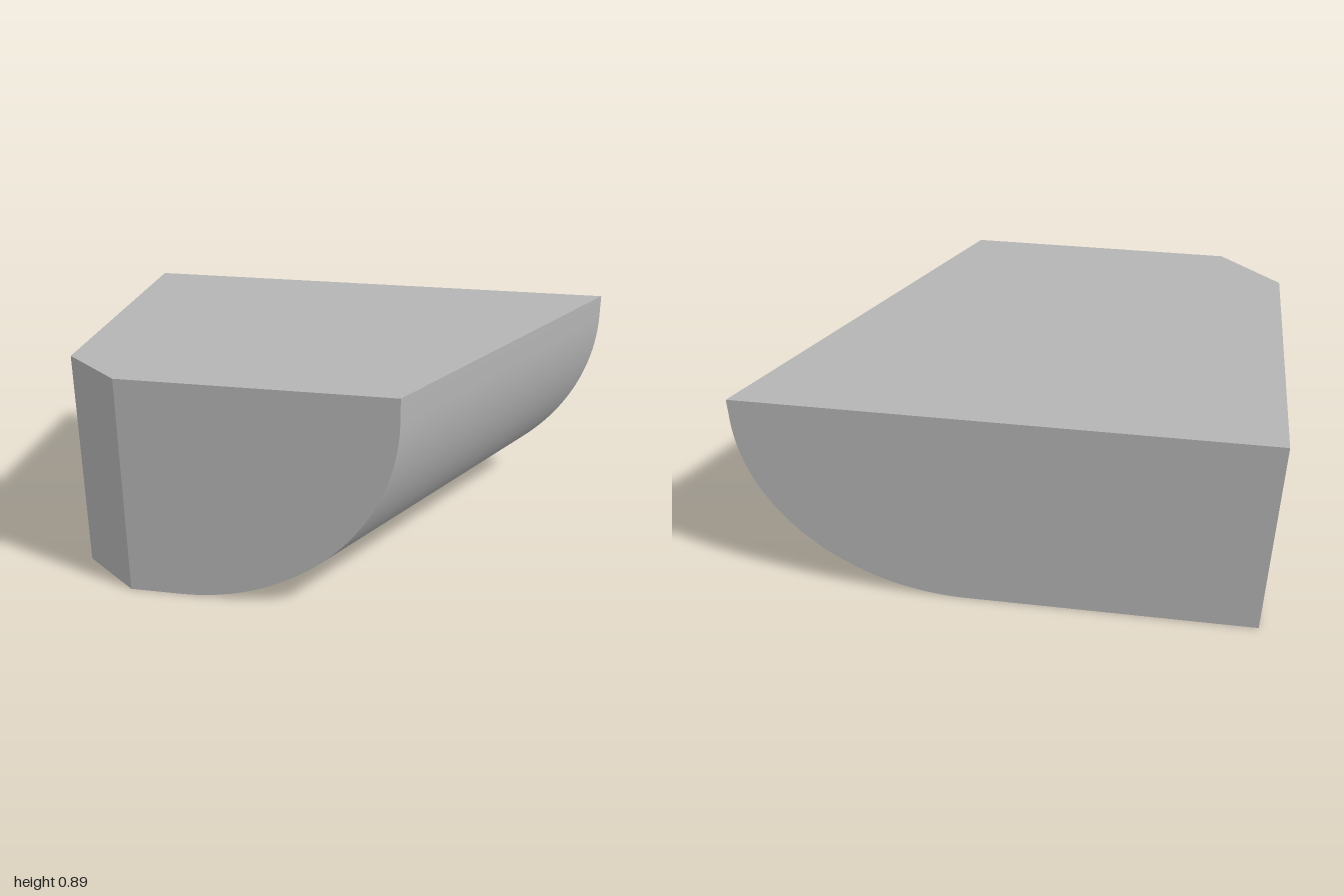
import * as THREE from 'three';
import { toCreasedNormals } from 'three/addons/utils/BufferGeometryUtils.js';

const BACK = -0.655, CHAMFER = 0.46, FRONT = 0.655, HEIGHT = 0.89;

export function createModel() {
  const group = new THREE.Group();
  const grey = new THREE.MeshStandardMaterial({ color: 0xb4b4b4 });
  grey.name = 'plain grey';

  // Back cross-section: flat top and left side, rounded lower right
  const profile = new THREE.Shape();
  profile.moveTo(-1, 0);
  profile.lineTo(0.15, 0);
  profile.absellipse(0.15, 0.8, 0.85, 0.8, -Math.PI / 2, 0, false);
  profile.lineTo(1, HEIGHT);
  profile.lineTo(-1, HEIGHT);
  profile.closePath();

  const geometry = new THREE.ExtrudeGeometry(profile, {
    depth: 1, steps: 2, curveSegments: 20, bevelEnabled: false,
  });

  // Place the three sections, slant the rounded side and cut the front left corner
  const position = geometry.attributes.position;
  for (let i = 0; i < position.count; i++) {
    const step = Math.round(position.getZ(i) * 2);
    const z = [BACK, CHAMFER, FRONT][step];
    let x = position.getX(i);
    if (x < -0.99) x = step === 2 ? -0.76 : -1;
    else x -= 0.705 * (z - BACK) / (FRONT - BACK);
    position.setXYZ(i, x, position.getY(i), z);
  }

  const body = new THREE.Mesh(toCreasedNormals(geometry, 0.5), grey);
  body.name = 'roundedBlock';
  group.add(body);
  return group;
}
